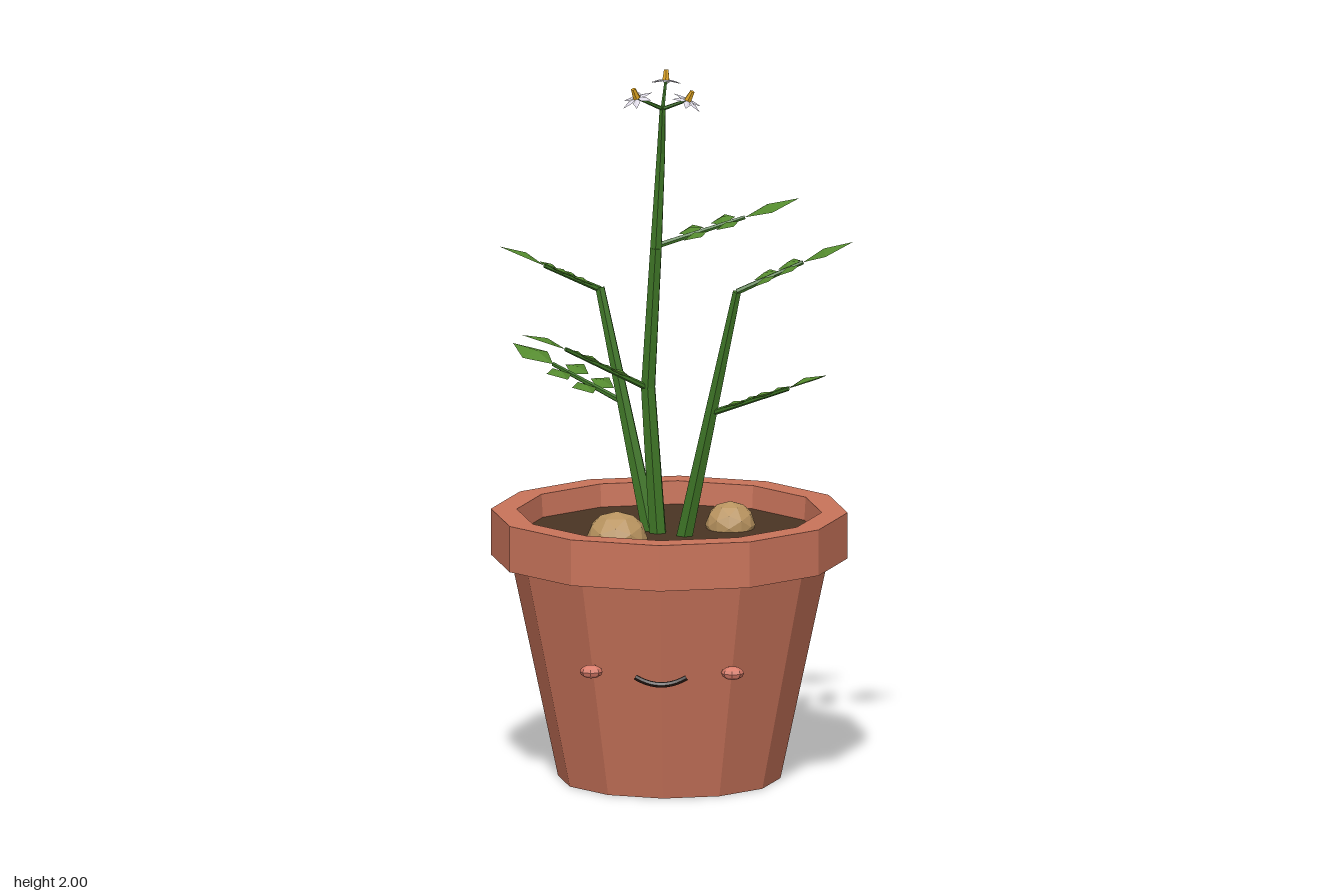
import * as THREE from 'three';

const mat = (name, color, extra = {}) => {
  const m = new THREE.MeshStandardMaterial({ color, flatShading: true, ...extra });
  m.name = name;
  return m;
};
const V = (x, y, z) => new THREE.Vector3(x, y, z);
const UP = V(0, 1, 0);

export function createModel() {
  const terracotta = mat('terracotta', 0xc8735a);
  const soilBrown = mat('soil brown', 0x4a3423);
  const tuberTan = mat('tuber tan', 0xb8935f);
  const stemGreen = mat('stem green', 0x3e7526);
  const leafGreen = mat('leaf green', 0x558b2f, { side: THREE.DoubleSide });
  const petalWhite = mat('petal white', 0xdedae6, { side: THREE.DoubleSide });
  const yellow = mat('flower yellow', 0xd9a020);
  const cheekPink = mat('cheek pink', 0xd87a68);
  const mouthDark = mat('mouth dark', 0x2a1a14);

  const model = new THREE.Group();
  model.name = 'pottedPlant';
  const add = (name, geo, material, parent = model) => {
    const m = new THREE.Mesh(geo, material);
    m.name = name;
    parent.add(m);
    return m;
  };
  const group = (name) => {
    const g = new THREE.Group();
    g.name = name;
    model.add(g);
    return g;
  };

  // Pot: twelve-sided, with an overhanging rim and a hollow top
  const cx = -0.013;
  const profile = [[0, 0], [0.31, 0], [0.443, 0.625], [0.497, 0.625], [0.497, 0.755], [0.425, 0.755], [0.42, 0.68]];
  add('pot', new THREE.LatheGeometry(profile.map(([r, y]) => new THREE.Vector2(r, y)), 12), terracotta).position.x = cx;
  add('soil', new THREE.CylinderGeometry(0.424, 0.42, 0.03, 12), soilBrown).position.set(cx, 0.675, 0);

  // Tubers half buried in the soil
  for (const [x, z, r, h] of [[-0.152, 0.122, 0.086, 0.076], [0.152, -0.09, 0.07, 0.066]]) {
    const t = add('tuber', new THREE.IcosahedronGeometry(1, 1), tuberTan);
    t.scale.set(r, h, r);
    t.position.set(x, 0.7, z);
  }

  // Face: two cheeks and a smile
  for (const s of [-1, 1]) {
    const c = add('cheek', new THREE.SphereGeometry(1, 8, 6), cheekPink);
    c.scale.set(0.032, 0.019, 0.026);
    c.position.set(cx + s * 0.197, 0.368, 0.36);
  }
  const smile = new THREE.QuadraticBezierCurve3(V(cx - 0.072, 0.363, 0.405), V(cx, 0.32, 0.405), V(cx + 0.072, 0.363, 0.405));
  add('mouth', new THREE.TubeGeometry(smile, 10, 0.008, 6), mouthDark);

  // Tapered rod between two points
  const rod = (name, a, b, r0, r1, parent) => {
    const d = b.clone().sub(a);
    const m = add(name, new THREE.CylinderGeometry(r1, r0, d.length(), 6), stemGreen, parent);
    m.position.copy(a).addScaledVector(d, 0.5);
    m.quaternion.setFromUnitVectors(UP, d.normalize());
  };

  // Kite-shaped blade with a raised middle, lying along local x
  const kite = (l, w, h) => {
    const b = [0, 0, 0], t = [l, 0, 0], c = [l * 0.45, h, 0], p = [l * 0.45, 0, w], q = [l * 0.45, 0, -w];
    const g = new THREE.BufferGeometry();
    const pts = [b, p, c, p, t, c, t, q, c, q, b, c].flat();
    g.setAttribute('position', new THREE.Float32BufferAttribute(pts, 3));
    g.computeVertexNormals();
    return g;
  };
  const blade = (name, geo, material, base, dir, normal, parent) => {
    const x = dir.clone().normalize();
    const z = x.clone().cross(normal).normalize();
    const y = z.clone().cross(x);
    const m = add(name, geo, material, parent);
    m.quaternion.setFromRotationMatrix(new THREE.Matrix4().makeBasis(x, y, z));
    m.position.copy(base);
  };
  const leafletGeo = kite(0.092, 0.036, 0.01);

  // Stems, each a chain of tapered segments
  const stems = {
    mainStem: [[V(-0.045, 0.67, -0.015), 0.026], [V(-0.073, 1.1, -0.02), 0.022], [V(-0.05, 1.5, 0), 0.018],
      [V(-0.036, 1.77, 0), 0.013], [V(-0.03, 1.905, 0.025), 0.009]],
    rightStem: [[V(-0.065, 0.67, -0.045), 0.026], [V(-0.215, 1.355, -0.155), 0.014]],
    leftStem: [[V(0.027, 0.67, 0.018), 0.026], [V(0.182, 1.4, 0.11), 0.013]],
  };
  for (const [name, pts] of Object.entries(stems)) {
    const g = group(name);
    for (let i = 1; i < pts.length; i++) rod('stemSegment', pts[i - 1][0], pts[i][0], pts[i - 1][1], pts[i][1], g);
  }

  // Compound leaves: [start, end of stalk, tip of end leaf]
  const leaves = [
    [V(-0.05, 1.505, 0), V(0.195, 1.58, -0.05), V(0.345, 1.63, -0.08)],
    [V(-0.074, 1.1, -0.015), V(-0.295, 1.235, 0.125), V(-0.413, 1.29, 0.205)],
    [V(-0.215, 1.35, -0.155), V(-0.365, 1.43, -0.08), V(-0.488, 1.497, -0.012)],
    [V(-0.147, 1.04, -0.105), V(-0.35, 1.12, -0.235), V(-0.466, 1.163, -0.312)],
    [V(0.182, 1.4, 0.11), V(0.366, 1.485, 0.104), V(0.505, 1.543, 0.098)],
    [V(0.105, 1.045, 0.064), V(0.33, 1.145, 0.2), V(0.442, 1.2, 0.28)],
  ];
  for (const [a, b, tip] of leaves) {
    const g = group('compoundLeaf');
    const along = b.clone().sub(a).normalize();
    const side = along.clone().cross(UP).normalize();
    const normal = side.clone().cross(along);
    rod('leafStalk', a, b, 0.009, 0.006, g);
    for (const t of [0.38, 0.74]) {
      for (const s of [-1, 1]) {
        const dir = side.clone().multiplyScalar(s).addScaledVector(along, 0.25).addScaledVector(UP, 0.06);
        blade('leaflet', leafletGeo, leafGreen, a.clone().lerp(b, t), dir, normal, g);
      }
    }
    const d = tip.clone().sub(b);
    blade('endLeaf', kite(d.length(), 0.058, 0.014), leafGreen, b, d, normal, g);
  }

  // Flowers: stalk, star of petals swept slightly back, yellow centre
  const top = V(-0.03, 1.9, 0.025);
  const petalGeo = kite(0.05, 0.011, 0.003);
  const flowers = [
    [V(-0.024, 1.972, -0.03), V(0.02, 1, -0.25)],
    [V(-0.1, 1.94, 0.07), V(-0.35, 1, 0.3)],
    [V(0.042, 1.93, 0.044), V(0.5, 1, 0.15)],
  ];
  for (const [p, aim] of flowers) {
    const g = group('flower');
    const axis = aim.clone().normalize();
    const u = axis.clone().cross(V(1, 0, 0)).normalize();
    rod('flowerStalk', top, p, 0.006, 0.004, g);
    for (let i = 0; i < 6; i++) {
      const dir = u.clone().applyAxisAngle(axis, (i * Math.PI) / 3).addScaledVector(axis, -0.2);
      blade('petal', petalGeo, petalWhite, p, dir, axis, g);
    }
    const c = add('flowerCentre', new THREE.CylinderGeometry(0.007, 0.011, 0.03, 6), yellow, g);
    c.position.copy(p).addScaledVector(axis, 0.013);
    c.quaternion.setFromUnitVectors(UP, axis);
  }
  return model;
}
